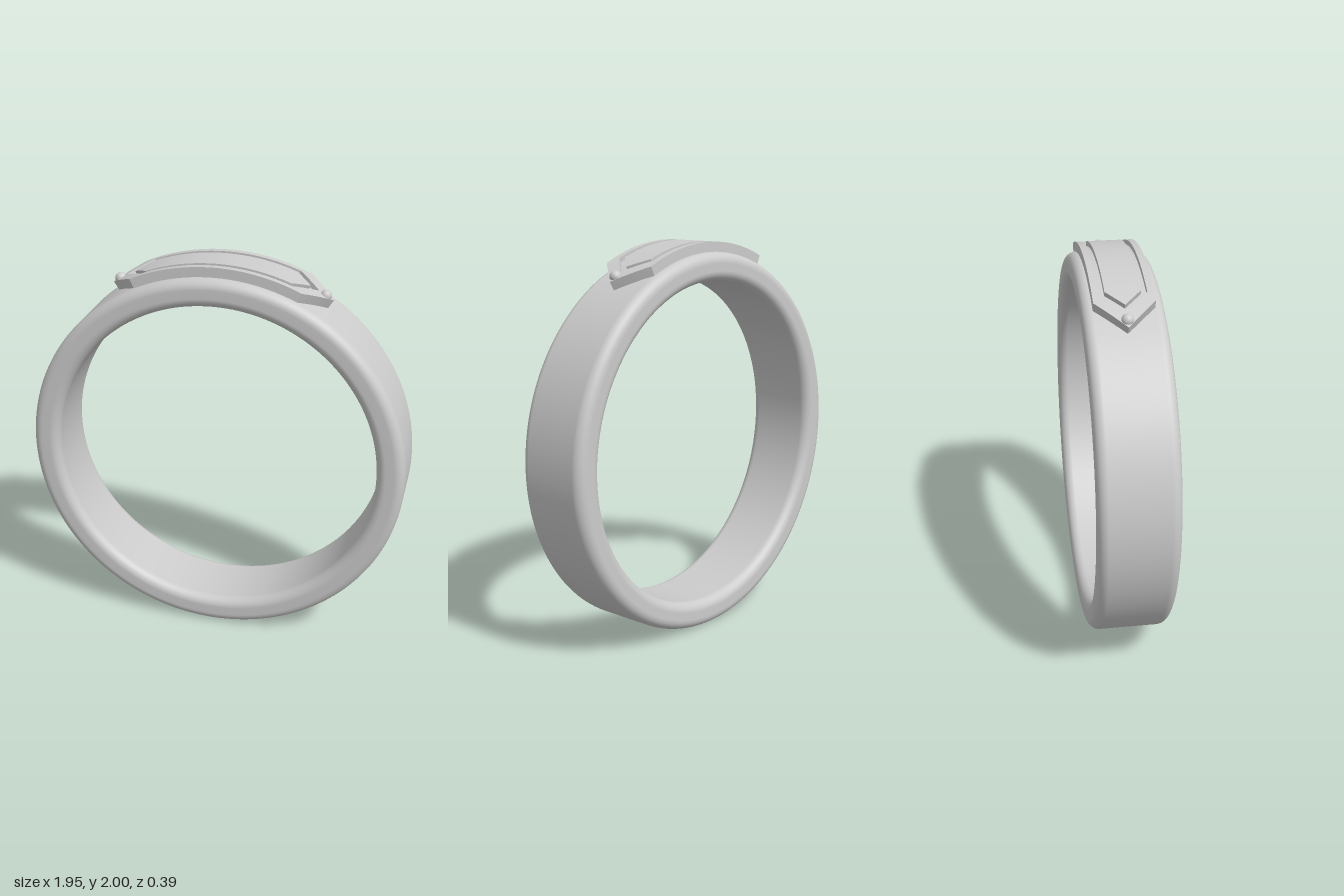
import * as THREE from 'three';
import { toCreasedNormals } from 'three/addons/utils/BufferGeometryUtils.js';

const CENTRE_Y = 0.975;
const RING_R = 0.975;
const PLATE_R = 1.025;
const GROOVE_R = 1.0;
const deg = THREE.MathUtils.degToRad;

// Half width of a long hexagon at angle a from the top of the ring
const hexagon = (tip, shoulder, width) => ({
  tip: deg(tip),
  shoulder: deg(shoulder),
  half(a) {
    const t = (this.tip - Math.abs(a)) / (this.tip - this.shoulder);
    return width * THREE.MathUtils.clamp(t, 0, 1);
  },
});

const outerHex = hexagon(32.9, 24.5, 0.145);
const grooveHex = hexagon(28.2, 21.3, 0.112);
const panelHex = hexagon(25.6, 20.6, 0.085);

// Slab bent round the ring, between two z edges and two radii
function bentSlab(hex, zLow, zHigh, r0, r1) {
  const angles = [];
  for (let i = 0; i <= 48; i++) angles.push(hex.tip * (i / 24 - 1));
  for (const h of [outerHex, grooveHex, panelHex]) {
    for (const a of [h.tip, h.shoulder]) if (a < hex.tip) angles.push(a, -a);
  }
  angles.sort((a, b) => a - b);

  const position = [], index = [];
  angles.forEach((a, i) => {
    const lo = zLow(a), hi = zHigh(a);
    for (const [r, z] of [[r0, lo], [r0, hi], [r1, hi], [r1, lo]]) {
      position.push(Math.sin(a) * r, Math.cos(a) * r, z);
    }
    if (i === 0) return;
    for (let k = 0; k < 4; k++) {
      const p = (i - 1) * 4 + k, q = (i - 1) * 4 + (k + 1) % 4;
      index.push(p, p + 4, q, q, p + 4, q + 4);
    }
  });
  const geometry = new THREE.BufferGeometry();
  geometry.setAttribute('position', new THREE.Float32BufferAttribute(position, 3));
  geometry.setIndex(index);
  return toCreasedNormals(geometry, deg(30));
}

// Band section: rectangle with rounded corners, turned round the axis
function bandGeometry() {
  const inner = 0.832, half = 0.195, c = 0.05;
  const points = [];
  const corners = [
    [RING_R - c, -half + c, -90], [RING_R - c, half - c, 0],
    [inner + c, half - c, 90], [inner + c, -half + c, 180],
  ];
  for (const [x, y, start] of corners) {
    for (let i = 0; i <= 8; i++) {
      const a = deg(start + i * 90 / 8);
      points.push(new THREE.Vector2(x + c * Math.cos(a), y + c * Math.sin(a)));
    }
  }
  points.push(points[0].clone());
  return new THREE.LatheGeometry(points, 160).rotateX(Math.PI / 2);
}

export function createModel() {
  const model = new THREE.Group();
  model.name = 'ring';
  const material = new THREE.MeshStandardMaterial({ color: 0xcccccc, side: THREE.DoubleSide });
  const add = (name, geometry) => {
    const mesh = new THREE.Mesh(geometry, material);
    mesh.name = name;
    mesh.position.y = CENTRE_Y;
    model.add(mesh);
    return mesh;
  };

  add('band', bandGeometry());

  // Plate whose top is the floor of the groove
  const outer = (a) => outerHex.half(a);
  const groove = (a) => grooveHex.half(a);
  const panel = (a) => panelHex.half(a);
  add('plateBase', bentSlab(outerHex, (a) => -outer(a), outer, 0.95, GROOVE_R));

  // Raised rim, one half per side, meeting at the tips
  add('rimFront', bentSlab(outerHex, groove, outer, GROOVE_R, PLATE_R));
  add('rimBack', bentSlab(outerHex, (a) => -outer(a), (a) => -groove(a), GROOVE_R, PLATE_R));

  // Raised panel inside the groove
  add('plaquePanel', bentSlab(panelHex, (a) => -panel(a), panel, GROOVE_R, PLATE_R));

  // Round studs at the two tips
  for (const side of [1, -1]) {
    const a = side * deg(30.4);
    const stud = add(side > 0 ? 'leftStud' : 'rightStud', new THREE.SphereGeometry(0.029, 32, 20));
    stud.position.x = Math.sin(a) * 1.023;
    stud.position.y += Math.cos(a) * 1.023;
  }
  return model;
}
